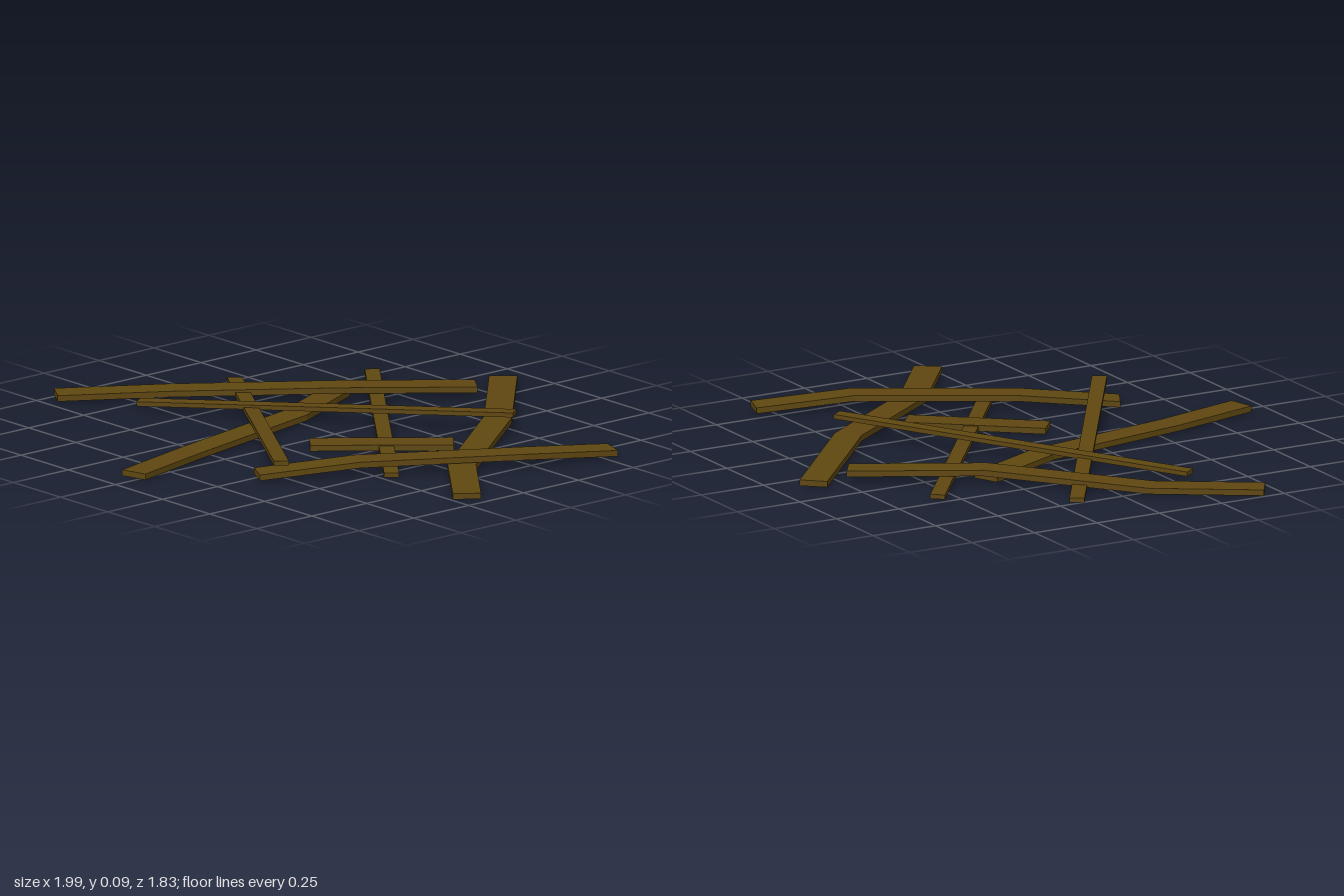
import * as THREE from 'three';

const wood = new THREE.MeshStandardMaterial({ color: 0x5f4710 });
wood.name = 'dark brown wood';

// Sweep a rectangular section along a bent centre line of [x, y, z] points, with mitred bends
function plank(name, width, thick, path) {
  const pts = path.map((p) => new THREE.Vector3(...p));
  const flatDir = (a, b) => new THREE.Vector3(b.x - a.x, 0, b.z - a.z).normalize();
  const rings = pts.map((p, i) => {
    const before = flatDir(pts[Math.max(i - 1, 0)], pts[Math.max(i, 1)]);
    const last = pts.length - 1;
    const after = flatDir(pts[Math.min(i, last - 1)], pts[Math.min(i + 1, last)]);
    const mid = before.clone().add(after).normalize();
    const reach = width / 2 / mid.dot(before);
    const side = new THREE.Vector3(-mid.z, 0, mid.x).multiplyScalar(reach);
    return [[1, 1], [-1, 1], [-1, -1], [1, -1]].map(([s, h]) =>
      p.clone().addScaledVector(side, s).add(new THREE.Vector3(0, h * thick / 2, 0)));
  });

  const pos = [];
  const quad = (a, b, c, d) => [a, b, c, a, c, d].forEach((v) => pos.push(v.x, v.y, v.z));
  for (let i = 0; i < rings.length - 1; i++) {
    const a = rings[i], b = rings[i + 1];
    for (let k = 0; k < 4; k++) {
      const n = (k + 1) % 4;
      quad(a[k], b[k], b[n], a[n]);
    }
  }
  const s = rings[0], e = rings[rings.length - 1];
  quad(s[0], s[1], s[2], s[3]);
  quad(e[3], e[2], e[1], e[0]);

  const geo = new THREE.BufferGeometry();
  geo.setAttribute('position', new THREE.Float32BufferAttribute(pos, 3));
  geo.computeVertexNormals();
  const mesh = new THREE.Mesh(geo, wood);
  mesh.name = name;
  return mesh;
}

export function createModel() {
  const group = new THREE.Group();
  group.name = 'scatteredPlanks';
  const wide = 0.098, narrow = 0.052, thick = 0.021, thin = 0.016;

  group.add(
    // Wide bent boards
    plank('backBoard', wide, thick,
      [[-0.12, 0.017, -0.87], [0.3, 0.028, -0.485], [0.655, 0.018, -0.015], [0.95, 0.017, 0.215]]),
    plank('rightBoard', wide, thick,
      [[-0.968, 0.017, 0.44], [-0.755, 0.018, 0.11], [-0.34, 0.042, -0.31], [-0.072, 0.03, -0.705]]),
    plank('leftBoard', wide, thick,
      [[0.827, 0.018, -0.555], [0.718, 0.042, -0.22], [0.43, 0.042, 0.27], [0.262, 0.017, 0.58]]),
    plank('frontBoard', wide, thick,
      [[-0.01, 0.017, 0.908], [-0.095, 0.017, 0.575], [-0.212, 0.022, 0], [-0.36, 0.02, -0.32]]),
    plank('shortBoard', wide, thick,
      [[0.408, 0.017, -0.19], [0.09, 0.017, 0.192]]),

    // Narrow straight slats
    plank('upperSlat', narrow, thin, [[-0.685, 0.027, 0.307], [0.412, 0.078, -0.465]]),
    plank('slopingSlat', narrow, thin, [[-0.74, 0.009, -0.178], [0.37, 0.076, 0.562]]),
    plank('lowerSlat', narrow, thin, [[-0.487, 0.018, -0.588], [0.568, 0.015, 0.23]]),
  );
  return group;
}
